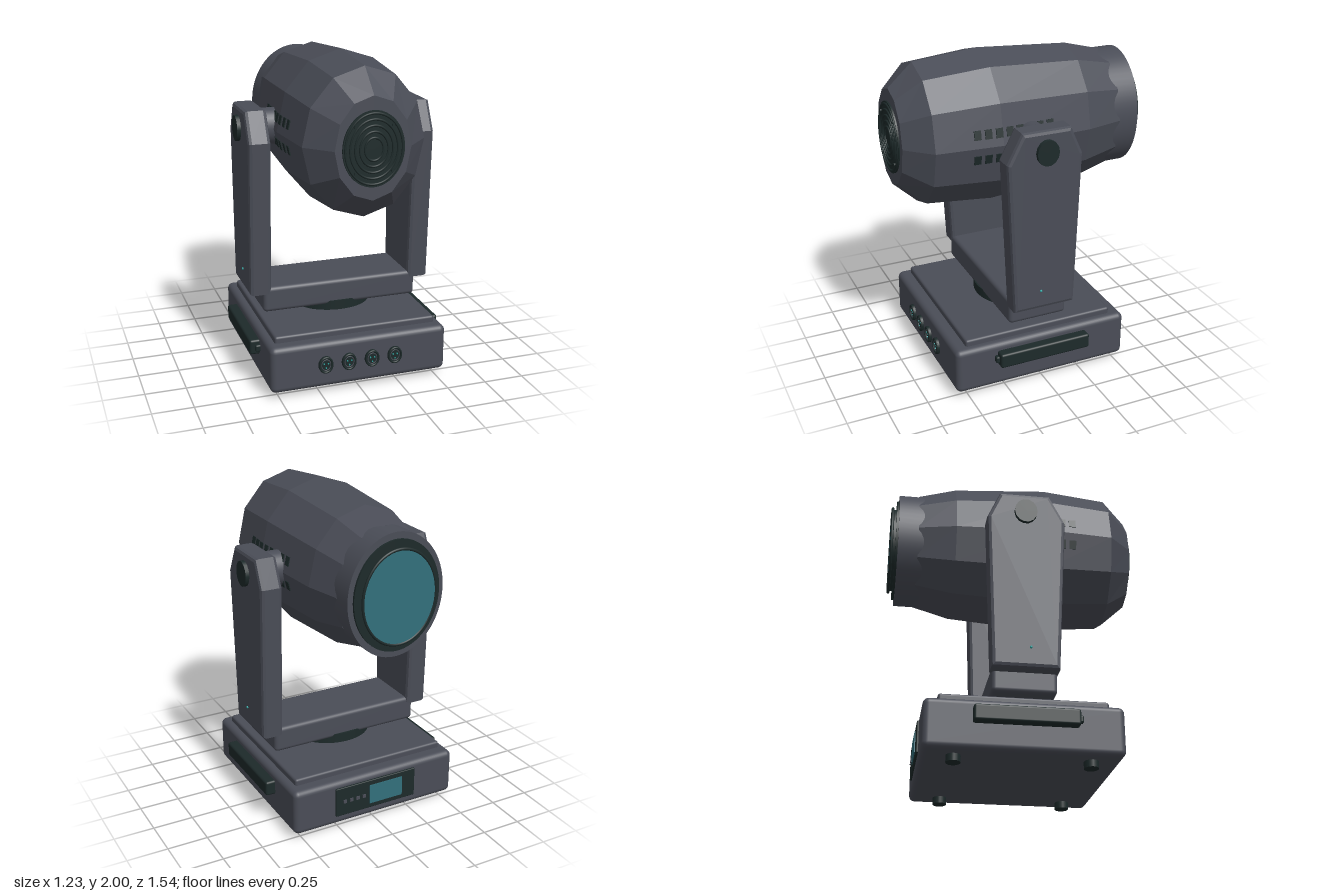
import * as THREE from 'three';
import { RoundedBoxGeometry } from 'three/addons/geometries/RoundedBoxGeometry.js';

const mat = (name, color) => {
  const m = new THREE.MeshStandardMaterial({ color });
  m.name = name;
  return m;
};

export function createModel() {
  const root = new THREE.Group();
  root.name = 'movingHeadLight';
  const body = mat('charcoal', 0x4a4d57);
  const dark = mat('dark green black', 0x1d2a2a);
  const glass = mat('teal glass', 0x32707c);
  const accent = mat('bright teal', 0x2fa3a0);

  const SX = 0.84;      // the round parts are slightly narrow in x
  const PY = 1.53;      // pivot height
  const PZ = 0.02;      // pivot depth

  const add = (name, geometry, material, x = 0, y = 0, z = 0, parent = root) => {
    const mesh = new THREE.Mesh(geometry, material);
    mesh.name = name;
    mesh.position.set(x, y, z);
    parent.add(mesh);
    return mesh;
  };
  // rounded box from its limits
  const block = (name, m, x0, x1, y0, y1, z0, z1, r) =>
    add(name, new RoundedBoxGeometry(x1 - x0, y1 - y0, z1 - z0, 3, r), m,
      (x0 + x1) / 2, (y0 + y1) / 2, (z0 + z1) / 2);
  // elliptical disc facing along z
  const disc = (name, m, r, x, y, z0, z1, seg = 48) =>
    add(name, new THREE.CylinderGeometry(r, r, z1 - z0, seg).rotateX(Math.PI / 2).scale(SX, 1, 1),
      m, x, y, (z0 + z1) / 2);
  const ring = (name, m, r, tube, x, y, z, seg = 48) =>
    add(name, new THREE.TorusGeometry(r, tube, 8, seg).scale(SX, 1, 1), m, x, y, z);

  // Base
  block('base', body, -0.555, 0.555, 0.04, 0.33, -0.55, 0.578, 0.035);
  block('baseTopPlate', body, -0.508, 0.508, 0.29, 0.37, -0.467, 0.5, 0.015);
  for (const x of [-0.427, 0.427]) {
    for (const z of [-0.367, 0.403]) {
      add('foot', new THREE.CylinderGeometry(0.05, 0.05, 0.06, 20).scale(1, 1, 0.84), dark, x, 0.03, z);
    }
  }

  // Side handles
  for (const s of [-1, 1]) {
    block('sideHandle', dark, s * 0.58 - 0.035, s * 0.58 + 0.035, 0.188, 0.282, -0.277, 0.315, 0.014);
    block('handleEnd', dark, s * 0.565 - 0.02, s * 0.565 + 0.02, 0.212, 0.255, 0.29, 0.335, 0.01);
  }

  // Front sockets with three pins each
  for (let i = 0; i < 4; i++) {
    const x = -0.221 + i * 0.146;
    disc('socket', dark, 0.054, x, 0.19, 0.56, 0.59, 28);
    ring('socketRim', dark, 0.047, 0.007, x, 0.19, 0.591, 28);
    ring('socketInnerRim', body, 0.034, 0.003, x, 0.19, 0.59, 28);
    for (let k = 0; k < 3; k++) {
      const a = Math.PI / 6 + (k * Math.PI * 2) / 3;
      disc('socketPin', accent, 0.005, x + Math.cos(a) * 0.015, 0.19 + Math.sin(a) * 0.018, 0.586, 0.595, 8);
    }
  }

  // Rear control panel
  block('controlPanel', dark, -0.27, 0.285, 0.1, 0.29, -0.562, -0.53, 0.005);
  add('screen', new THREE.BoxGeometry(0.23, 0.125, 0.008), glass, -0.06, 0.195, -0.564);
  for (let i = 0; i < 4; i++) {
    add('panelButton', new THREE.BoxGeometry(0.022, 0.022, 0.008), body, 0.225 - i * 0.044, 0.195, -0.564);
  }

  // Turntable and yoke
  add('turntable', new THREE.CylinderGeometry(0.242, 0.242, 0.08, 48).scale(1, 1, 0.83), dark, 0, 0.39, PZ);
  block('yokeBeam', body, -0.495, 0.495, 0.405, 0.565, -0.167, 0.21, 0.025);

  const bevel = 0.022;
  const armShape = new THREE.Shape([
    [-0.213, 0.525], [0.178, 0.525], [0.21, 1.49], [0.135, 1.657], [-0.168, 1.657], [-0.26, 1.48],
  ].map(([u, v]) => new THREE.Vector2(u, v)));
  const armGeo = new THREE.ExtrudeGeometry(armShape, {
    depth: 0.136 - bevel * 2, bevelEnabled: true, bevelThickness: bevel,
    bevelSize: bevel, bevelOffset: -bevel, bevelSegments: 2,
  }).translate(0, 0, bevel - 0.068).rotateY(Math.PI / 2);

  for (const s of [-1, 1]) {
    add('yokeArm', armGeo, body, s * 0.512);
    const axle = (name, m, r, x0, x1, seg) =>
      add(name, new THREE.CylinderGeometry(r, r, x1 - x0, seg).rotateZ(Math.PI / 2).scale(1, 1, 0.88),
        m, s * (x0 + x1) / 2, PY, PZ);
    axle('tiltAxle', body, 0.11, 0.3, 0.47, 32);
    axle('tiltCap', dark, 0.078, 0.56, 0.603, 14);
    add('armIndicator', new THREE.SphereGeometry(0.008, 10, 8), accent, s * 0.581, 0.647, 0.045);
  }

  // Faceted head shell: half-height along z
  const profile = [[0, -0.6], [0.368, -0.6], [0.43, -0.37], [0.47, 0.2], [0.433, 0.6], [0.296, 0.748], [0, 0.748]];
  const headGeo = new THREE.LatheGeometry(profile.map(([r, z]) => new THREE.Vector2(r, z)), 12)
    .rotateX(Math.PI / 2).scale(SX, 1, 1);
  const pos = headGeo.attributes.position;
  for (let i = 0; i < pos.count; i++) {
    if (pos.getZ(i) > 0.7) pos.setX(i, pos.getX(i) * 0.9);
  }
  const flatHead = headGeo.toNonIndexed();
  flatHead.computeVertexNormals();
  add('headShell', flatHead, body, 0, PY, 0);

  // Lens end
  disc('lensCollar', body, 0.365, 0, PY, -0.722, -0.5, 64);
  disc('lensSeat', dark, 0.326, 0, PY, -0.736, -0.7, 64);
  disc('lensBarrel', dark, 0.268, 0, PY, -0.756, -0.72, 64);
  ring('lensRim', dark, 0.277, 0.009, 0, PY, -0.76, 64);
  disc('lens', glass, 0.27, 0, PY, -0.764, -0.757, 64);

  // Fan grille at the other end
  disc('fanPlate', dark, 0.216, 0, PY, 0.73, 0.758);
  for (let i = 0; i < 5; i++) ring('fanRing', dark, 0.2 - i * 0.034, 0.007, 0, PY, 0.759);
  for (let i = 0; i < 4; i++) {
    const a = Math.PI / 4 + (i * Math.PI) / 2;
    disc('fanScrew', dark, 0.009, Math.cos(a) * 0.154, PY + Math.sin(a) * 0.183, 0.755, 0.768, 10);
  }

  // Cooling slots, two rows on each side, lying on the facets
  const radiusAt = (z) => {
    const i = profile.findIndex((p, k) => k > 1 && z <= p[1]);
    const [r0, z0] = profile[i - 1], [r1, z1] = profile[i];
    return r0 + ((r1 - r0) * (z - z0)) / (z1 - z0);
  };
  for (const s of [-1, 1]) {
    for (const t of [-1, 1]) {
      for (let k = 0; k < 8; k++) {
        const z = 0.35 - k * 0.065;
        const x = SX * (radiusAt(z) - 0.075 * Math.tan(Math.PI / 12));
        const slot = add('coolingSlot', new THREE.BoxGeometry(0.009, 0.055, 0.042), dark, s * x, PY + t * 0.075, z);
        slot.rotation.z = s * t * 0.22;
      }
    }
  }
  return root;
}
